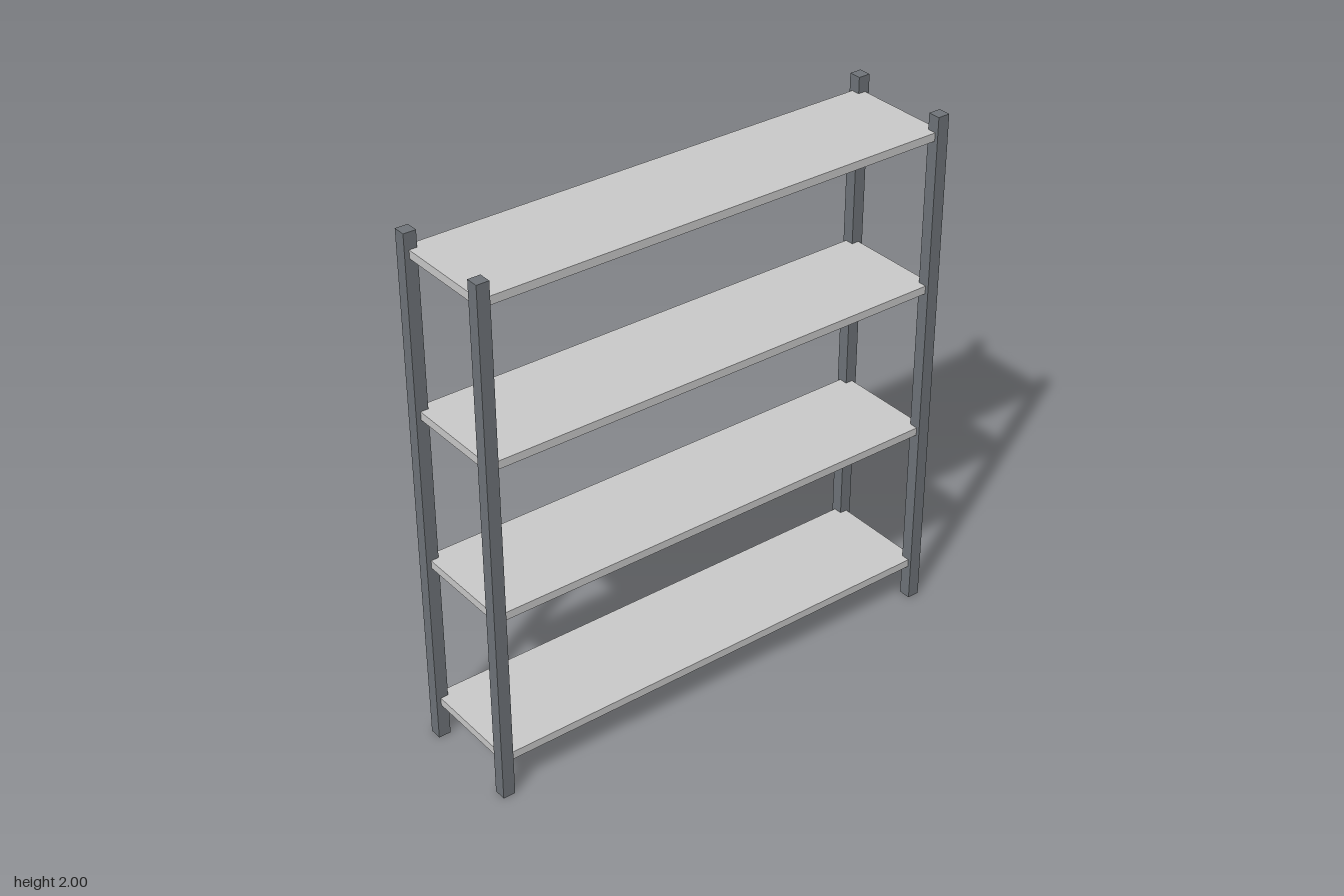
import * as THREE from 'three';

export function createModel() {
  const model = new THREE.Group();
  model.name = 'shelvingUnit';

  const postMaterial = new THREE.MeshStandardMaterial({ color: 0x70757a });
  const shelfMaterial = new THREE.MeshStandardMaterial({ color: 0xcccccc });

  function addBox(name, size, position, material) {
    const mesh = new THREE.Mesh(new THREE.BoxGeometry(...size), material);
    mesh.name = name;
    mesh.position.set(...position);
    model.add(mesh);
  }

  // Four square corner posts
  for (const [side, x] of [['Left', 0.925], ['Right', -0.925]]) {
    for (const [end, z] of [['front', 0.201], ['back', -0.201]]) {
      addBox(`${end}${side}Post`, [0.047, 2, 0.047], [x, 1, z], postMaterial);
    }
  }

  // Four evenly spaced shelves, let into the posts
  for (let i = 0; i < 4; i++) {
    addBox(`shelf${i + 1}`, [1.862, 0.031, 0.422], [0, 0.153 + i * 0.59, 0], shelfMaterial);
  }

  return model;
}
